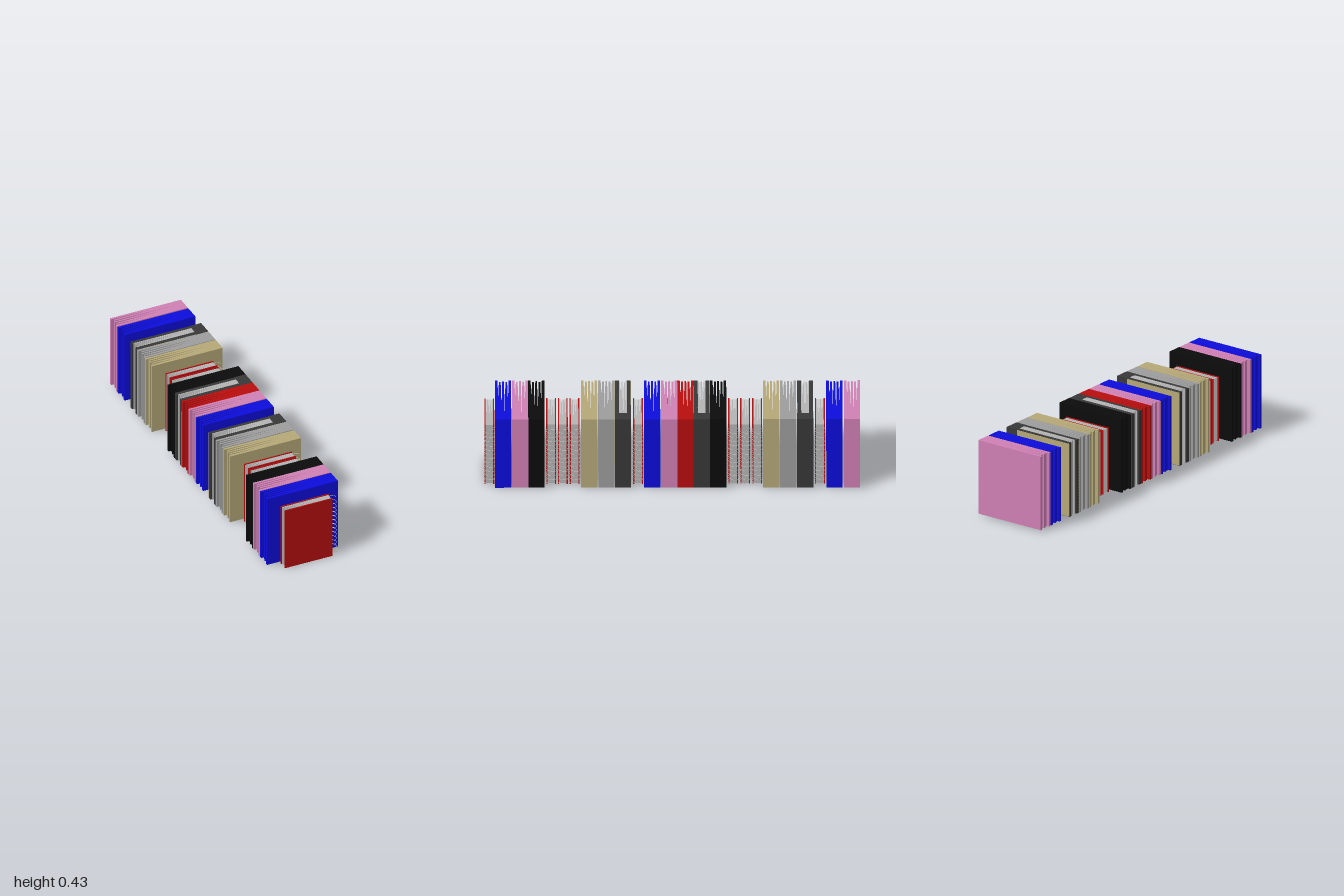
import * as THREE from 'three';

const mat = (color) => new THREE.MeshStandardMaterial({ color, flatShading: true });
const COLORS = {
  blue: mat(0x0c0cdc), pink: mat(0xd080b5), black: mat(0x0b0b0b), tan: mat(0xb5a878),
  gray: mat(0x9c9c9c), dark: mat(0x383838), red: mat(0xb80e0e), paper: mat(0xb4b4b4),
};
const wire = new THREE.MeshStandardMaterial({ color: 0xcccccc });

function add(group, name, geometry, material, x = 0, y = 0, z = 0) {
  const mesh = new THREE.Mesh(geometry, material);
  mesh.name = name;
  mesh.position.set(x, y, z);
  group.add(mesh);
  return mesh;
}

// Upright block whose plan is a comb: teeth point to -x, parted by wedge slots
function comb(x0, x1, thick, height, gaps, slotWidth, depths, inset) {
  const s = new THREE.Shape();
  s.moveTo(x1, -thick / 2);
  s.lineTo(x1, thick / 2);
  s.lineTo(x0, thick / 2);
  const pitch = thick / (gaps + 1);
  for (let i = 0; i < gaps; i++) {
    const z = thick / 2 - pitch * (i + 1);
    const before = x0 + (i === 0 ? 0 : inset * (1 + (i % 2)));
    const after = x0 + (i === gaps - 1 ? 0 : inset * (1 + ((i + 1) % 2)));
    s.lineTo(before, z + slotWidth / 2);
    s.lineTo(x0 + (x1 - x0) * depths[i % depths.length], z);
    s.lineTo(after, z - slotWidth / 2);
  }
  s.lineTo(x0, -thick / 2);
  const g = new THREE.ExtrudeGeometry(s, { depth: height, bevelEnabled: false });
  return g.rotateX(-Math.PI / 2);
}

const BINDER_T = 0.086, BINDER_H = 0.417, BINDER_Y = 0.01;
const binderGeo = comb(-0.208, 0.208, BINDER_T, BINDER_H, 4, 0.008, [0.55, 0.82, 0.7, 0.4], 0.006);
const innerGeo = comb(-0.2, 0.14, 0.042, BINDER_H, 4, 0.005, [0.6, 0.9, 0.75, 0.5], 0.004);
const boardGeo = new THREE.BoxGeometry(0.348, BINDER_H, 0.021);
const panelGeo = new THREE.BoxGeometry(0.348, BINDER_H - 0.004, 0.002);
const spineGeo = new THREE.BoxGeometry(0.068, BINDER_H, BINDER_T);

function plainBook(color) {
  const g = new THREE.Group();
  add(g, 'bookBody', binderGeo, COLORS[color], 0, BINDER_Y, 0);
  return g;
}

// Ledger: dark spine and boards, tan outer panels, pale pages
function ledger() {
  const g = new THREE.Group();
  const mid = BINDER_Y + BINDER_H / 2;
  add(g, 'ledgerSpine', spineGeo, COLORS.dark, 0.174, mid, 0);
  add(g, 'ledgerPages', innerGeo, COLORS.paper, 0, BINDER_Y, 0);
  for (const s of [-1, 1]) {
    add(g, 'ledgerBoard', boardGeo, COLORS.dark, -0.034, mid, s * 0.031);
    add(g, 'ledgerPanel', panelGeo, COLORS.tan, -0.034, mid, s * 0.0422);
  }
  return g;
}

// Helical wire that binds a notebook
class Coil extends THREE.Curve {
  getPoint(t, target = new THREE.Vector3()) {
    const a = t * 13 * Math.PI * 2;
    return target.set(0.161 + 0.021 * Math.cos(a), 0.018 + 0.334 * t, 0.0285 * Math.sin(a));
  }
}
const coilGeo = new THREE.TubeGeometry(new Coil(), 260, 0.0012, 5);
const noteCoverGeo = new THREE.BoxGeometry(0.28, 0.364, 0.006);
const notePagesGeo = comb(-0.126, 0.147, 0.04, 0.357, 5, 0.003, [0.8, 0.5, 0.9, 0.65, 0.75], 0.002);

function notebook() {
  const g = new THREE.Group();
  for (const s of [-1, 1]) add(g, 'notebookCover', noteCoverGeo, COLORS.red, 0.01, 0.182, s * 0.023);
  add(g, 'notebookPages', notePagesGeo, COLORS.paper, 0, 0.003, 0);
  add(g, 'notebookCoil', coilGeo, wire);
  return g;
}

// Row order from front to back: [kind, z centre]
const ROW = [
  ['notebook', 0.968], ['blue', 0.895], ['pink', 0.805], ['black', 0.719],
  ['notebook', 0.64], ['notebook', 0.578], ['notebook', 0.516],
  ['tan', 0.438], ['gray', 0.347], ['ledger', 0.259], ['notebook', 0.179],
  ['blue', 0.104], ['pink', 0.013], ['notebook', 0], ['red', -0.073],
  ['ledger', -0.159], ['black', -0.247],
  ['notebook', -0.326], ['notebook', -0.39], ['notebook', -0.454],
  ['tan', -0.528], ['gray', -0.618], ['ledger', -0.708], ['notebook', -0.787],
  ['blue', -0.864], ['pink', -0.957],
];

export function createModel() {
  const model = new THREE.Group();
  model.name = 'bookRow';
  for (const [kind, z] of ROW) {
    const book = kind === 'notebook' ? notebook() : kind === 'ledger' ? ledger() : plainBook(kind);
    book.name = kind === 'notebook' || kind === 'ledger' ? kind : kind + 'Book';
    book.position.z = z;
    model.add(book);
  }
  return model;
}
